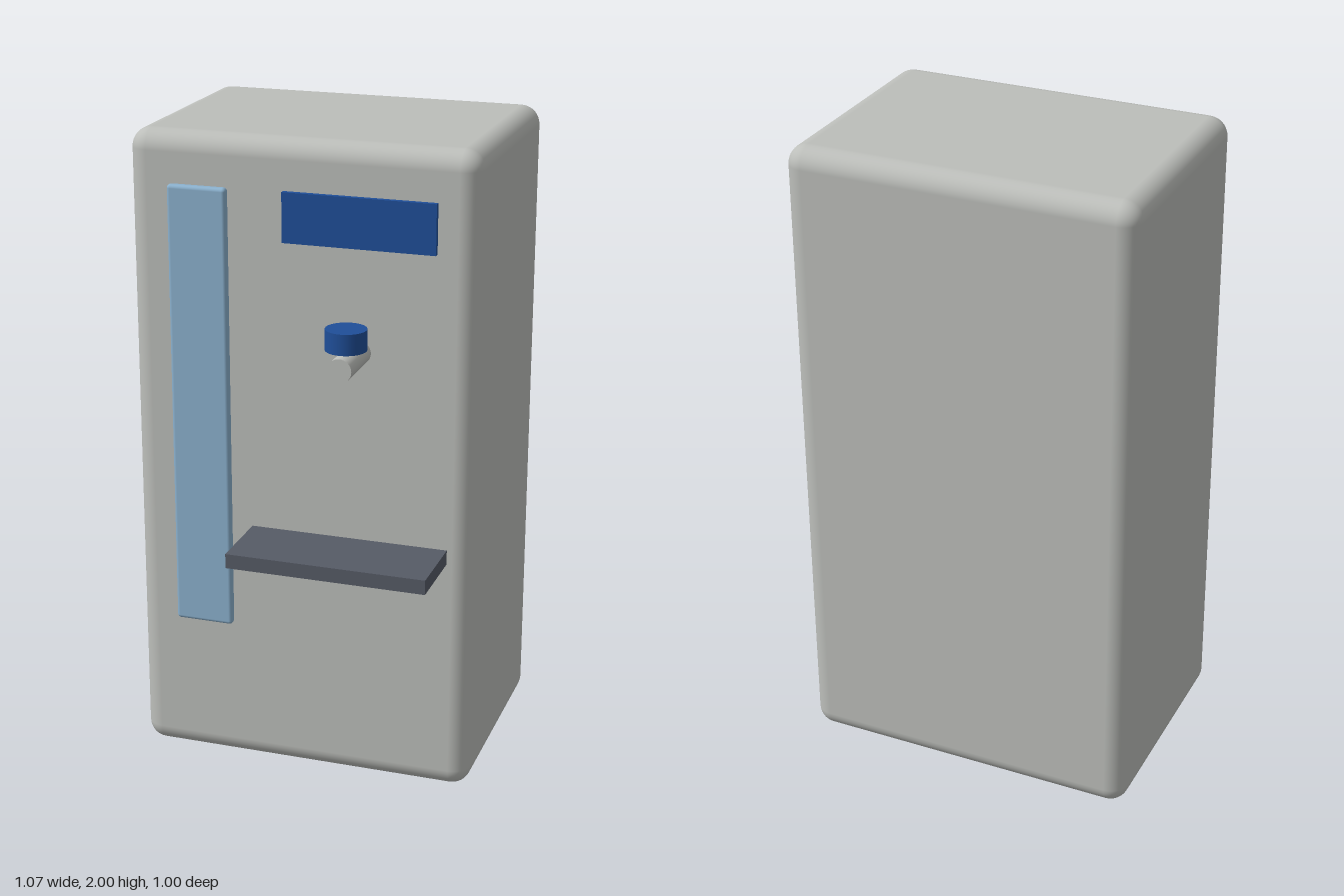
import * as THREE from 'three';
import { RoundedBoxGeometry } from 'three/addons/geometries/RoundedBoxGeometry.js';

const material = (name, color) => {
  const m = new THREE.MeshStandardMaterial({ color });
  m.name = name;
  return m;
};

export function createModel() {
  const group = new THREE.Group();
  group.name = 'dispenser';

  const grey = material('casing grey', 0xbcbeba);
  const blue = material('deep blue', 0x1f4e98);
  const glass = material('pale blue', 0x8bb1ce);
  const dark = material('slate grey', 0x565b66);

  const add = (name, geometry, mat, x, y, z) => {
    const mesh = new THREE.Mesh(geometry, mat);
    mesh.name = name;
    mesh.position.set(x, y, z);
    group.add(mesh);
    return mesh;
  };

  const front = 0.267; // z of the casing's front face

  // Rounded casing
  add('casing', new RoundedBoxGeometry(1.07, 2, 0.767, 5, 0.06), grey, 0, 1, -0.1165);

  // Tall level window on the front
  add('levelWindow', new RoundedBoxGeometry(0.183, 1.383, 0.03, 3, 0.011), glass, -0.309, 1.158, front + 0.015);

  // Display panel
  add('displayPanel', new THREE.BoxGeometry(0.463, 0.15, 0.03), blue, 0.183, 1.775, front + 0.001);

  // Spout pointing forward, with its tap knob above the tip
  const spout = add('spout', new THREE.CylinderGeometry(0.036, 0.036, 0.2, 32), grey, 0.183, 1.387, 0.353);
  spout.rotation.x = Math.PI / 2;
  add('tapKnob', new THREE.CylinderGeometry(0.061, 0.061, 0.063, 32), blue, 0.183, 1.464, 0.391);

  // Drip tray shelf
  add('dripTray', new THREE.BoxGeometry(0.615, 0.045, 0.25), dark, 0.152, 0.775, 0.375);

  return group;
}
